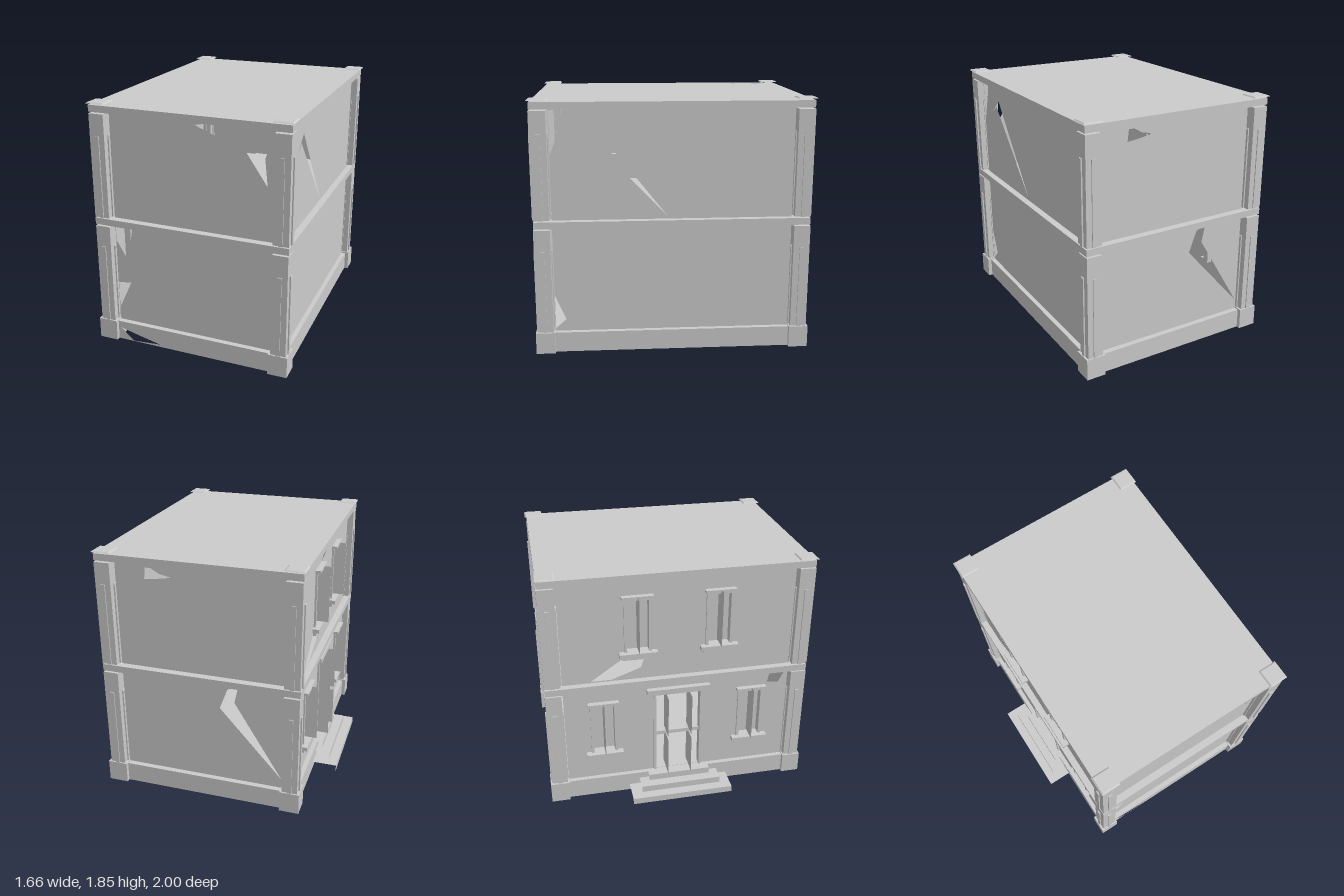
import * as THREE from 'three';

const mat = new THREE.MeshStandardMaterial({ color: 0xcccccc, flatShading: true });
const thin = new THREE.MeshStandardMaterial({ color: 0xcccccc, flatShading: true, side: THREE.DoubleSide });

// house outline: pillar centres, storey heights
const PX = [-0.6, 0.757], PZ = [-0.93, 0.93];
const LEVELS = [[0.15, 0.94], [0.99, 1.78]];
const BOTTOM = 3, TOP = 2;

const points = (list) => list.map(([a, b]) => new THREE.Vector2(a, b));
const rect = (a0, b0, a1, b1) => [[a0, b0], [a1, b0], [a1, b1], [a0, b1]];

function add(parent, name, geometry, material = mat) {
  const mesh = new THREE.Mesh(geometry, material);
  mesh.name = name;
  parent.add(mesh);
  return mesh;
}

// box given by its minimum and maximum corners
function box(parent, name, x0, y0, z0, x1, y1, z1) {
  const mesh = add(parent, name, new THREE.BoxGeometry(x1 - x0, y1 - y0, z1 - z0));
  mesh.position.set((x0 + x1) / 2, (y0 + y1) / 2, (z0 + z1) / 2);
  return mesh;
}

// the same box with one face left out
function openBox(parent, name, face, ...corners) {
  const mesh = box(parent, name, ...corners);
  const index = Array.from(mesh.geometry.index.array);
  index.splice(face * 6, 6);
  mesh.geometry.setIndex(index);
  mesh.material = thin;
}

// flat sheet with pieces cut out of it
function sheet(outline, holes) {
  const shape = new THREE.Shape(points(outline));
  for (const hole of holes) shape.holes.push(new THREE.Path(points(hole)));
  return new THREE.ShapeGeometry(shape);
}

// wall across x, at a given z
function crossWall(parent, name, z, y0, y1, holes) {
  add(parent, name, sheet(rect(-0.53, y0, 0.687, y1), holes), thin).position.z = z;
}

// wall along z, at a given x; outline points are (z, y)
function sideWall(parent, name, x, y0, y1, holes) {
  const wall = add(parent, name, sheet(rect(-0.86, y0, 0.86, y1), holes), thin);
  wall.rotation.y = -Math.PI / 2;
  wall.position.x = x;
}

// framed opening in the entrance wall
function frame(parent, name, z, y0, y1, half, lintelReach, lintelHeight) {
  const g = new THREE.Group();
  g.name = name;
  const out = -0.625, back = -0.56, t = 0.02;
  for (const s of [-1, 1]) {
    const c = z + s * (half - t / 2);
    box(g, 'jamb', out, y0, c - t / 2, back, y1, c + t / 2);
  }
  box(g, 'head', out, y1 - t, z - half, back, y1, z + half);
  box(g, 'lintel', -0.65, y1, z - half - lintelReach, -0.6, y1 + lintelHeight, z + half + lintelReach);
  parent.add(g);
  return g;
}

// panel swung square to the wall about its own middle
function swungPanel(parent, name, z, y0, y1, width) {
  const panel = add(parent, name, new THREE.PlaneGeometry(width, y1 - y0));
  panel.rotation.y = Math.PI;
  panel.position.set(-0.61, (y0 + y1) / 2, z);
}

export function createModel() {
  const house = new THREE.Group();
  house.name = 'ruinedHouse';

  // corner pillars: open-bottomed footing, two shafts, side strips and a loose cap
  for (const px of PX) for (const pz of PZ) {
    const pillar = new THREE.Group();
    pillar.name = 'cornerPillar';
    pillar.position.set(px, 0, pz);
    house.add(pillar);

    openBox(pillar, 'footing', BOTTOM, -0.073, 0, -0.07, 0.073, 0.16, 0.07);
    for (const [y0, y1, stripTop] of [[0.15, 0.93, 0.77], [1.0, 1.77, 1.61]]) {
      box(pillar, 'shaft', -0.057, y0, -0.059, 0.057, y1, 0.059);
      box(pillar, 'sideStrip', -0.067, y0, -0.015, 0.067, stripTop, 0.015);
      box(pillar, 'sideStrip', -0.015, y0, -0.067, 0.015, stripTop, 0.067);
    }
    const cap = add(pillar, 'looseCap', new THREE.CylinderGeometry(0.085, 0.099, 0.008, 4), thin);
    cap.rotation.y = Math.PI / 4;
    cap.position.y = 1.845;
  }

  // floors and roof
  box(house, 'groundFloor', -0.645, 0.135, -0.97, 0.8, 0.15, 0.97);
  box(house, 'middleFloor', -0.66, 0.94, -0.985, 0.815, 0.99, 0.985);
  openBox(house, 'roofSlab', TOP, -0.66, 1.78, -0.985, 0.815, 1.83, 0.985);
  const roofBed = add(house, 'roofBed', sheet(rect(-0.66, -0.985, 0.815, 0.985), []), thin);
  roofBed.rotation.x = Math.PI / 2;
  roofBed.position.y = 1.815;

  // chipped roof covering, points are (x, z)
  const chips = [
    [[-0.56, -0.88], [-0.4, -0.755], [-0.55, -0.78]],
    [[-0.57, -0.6], [-0.37, -0.73], [-0.33, -0.69], [-0.43, -0.47], [-0.45, -0.6]],
    [[-0.01, -0.69], [0.15, -0.53], [0.05, -0.47]],
    [[0.34, -0.27], [0.43, -0.27], [0.32, -0.18]],
    [[0.23, 0.35], [0.25, 0.24], [0.43, 0.07], [0.45, 0.13]],
    [[-0.44, 0.5], [-0.39, 0.5], [-0.24, 0.31], [-0.28, 0.56], [-0.39, 0.58], [-0.4, 0.87]],
    [[0.53, 0.68], [0.58, 0.58], [0.63, 0.59], [0.64, 0.63]],
  ];
  const covering = add(house, 'roofCovering', sheet(rect(-0.66, -0.985, 0.815, 0.985), chips), thin);
  covering.rotation.x = Math.PI / 2;
  covering.position.y = 1.83;

  // plinth walls; the ground floor forms the ledge on top
  crossWall(house, 'frontPlinth', 0.97, 0, 0.15, [[[-0.51, 0.1], [-0.4, 0.07], [-0.18, 0.02], [-0.4, 0.003]]]);
  crossWall(house, 'backPlinth', -0.97, 0, 0.15, []);
  sideWall(house, 'leftPlinth', 0.8, 0, 0.15, []);
  sideWall(house, 'rightPlinth', -0.645, 0, 0.15, []);

  // front and back walls, broken through in places
  crossWall(house, 'frontLowerWall', 0.93, ...LEVELS[0], [
    [[-0.527, 0.81], [-0.44, 0.66], [-0.387, 0.935], [-0.527, 0.935]],
    [[-0.527, 0.46], [-0.42, 0.48], [-0.527, 0.25]],
  ]);
  crossWall(house, 'frontUpperWall', 0.93, ...LEVELS[1], [
    [[0.12, 1.75], [0.2, 1.765], [0.43, 1.755], [0.45, 1.74], [0.48, 1.605]],
    [[0.49, 1.6], [0.55, 1.6], [0.683, 1.775], [0.62, 1.57], [0.64, 1.38]],
  ]);
  crossWall(house, 'backLowerWall', -0.93, ...LEVELS[0], [
    [[-0.06, 0.74], [-0.12, 0.9], [-0.2, 0.935], [-0.17, 0.8], [-0.525, 0.22]],
  ]);
  crossWall(house, 'backUpperWall', -0.93, ...LEVELS[1], [
    [[0.27, 1.69], [0.36, 1.71], [0.42, 1.745], [0.46, 1.745], [0.47, 1.66], [0.36, 1.675]],
  ]);

  // plain side walls
  sideWall(house, 'leftLowerWall', 0.765, ...LEVELS[0], [[[0.857, 0.42], [0.78, 0.24], [0.857, 0.17]]]);
  sideWall(house, 'leftUpperWall', 0.765, ...LEVELS[1], [
    [[0.69, 1.54], [0.55, 1.66], [0.03, 1.0], [0.6, 1.605]],
    [[0.857, 1.77], [0.76, 1.775], [0.77, 1.69], [0.857, 1.45]],
  ]);

  // entrance walls with door and window openings, plus damage
  const half = 0.1, lowZ = 0.57, highZ = 0.3;
  const opening = (z, y0, y1, h) => rect(z - h, y0, z + h, y1);
  sideWall(house, 'rightLowerWall', -0.61, ...LEVELS[0], [
    opening(0, 0.153, 0.85, 0.19),
    opening(-lowZ, 0.38, 0.8, half), opening(lowZ, 0.38, 0.8, half),
    [[0.7, 0.84], [0.72, 0.935], [0.84, 0.935], [0.79, 0.83]],
  ]);
  sideWall(house, 'rightUpperWall', -0.61, ...LEVELS[1], [
    opening(-highZ, 1.22, 1.64, half), opening(highZ, 1.22, 1.64, half),
    [[-0.65, 1.0], [-0.42, 1.16], [-0.25, 1.17], [-0.28, 1.08], [-0.5, 1.0]],
    [[-0.19, 1.66], [-0.05, 1.775], [0.17, 1.775], [0.12, 1.72]],
  ]);

  // windows: frame, sill, blind backing and a swung pane
  for (const [z, y0, y1] of [[lowZ, 0.38, 0.8], [-lowZ, 0.38, 0.8], [highZ, 1.22, 1.64], [-highZ, 1.22, 1.64]]) {
    const w = frame(house, 'window', z, y0, y1, half, 0.015, 0.02);
    box(w, 'sill', -0.66, y0 - 0.03, z - half - 0.04, -0.56, y0, z + half + 0.04);
    box(w, 'sillApron', -0.635, y0 - 0.06, z - half - 0.02, -0.6, y0 - 0.03, z + half + 0.02);
    box(w, 'backing', -0.565, y0, z - half, -0.56, y1, z + half);
    swungPanel(w, 'swungPane', z, y0 + 0.01, y1 + 0.02, 0.18);
  }

  // double door with each leaf in two swung panels
  const door = frame(house, 'door', 0, 0.15, 0.85, 0.19, 0.05, 0.04);
  for (const z of [-0.09, 0.09]) {
    swungPanel(door, 'lowerPanel', z, 0.15, 0.46, 0.18);
    swungPanel(door, 'upperPanel', z, 0.49, 0.83, 0.18);
  }
  box(door, 'crossRail', -0.6, 0.46, -0.17, -0.58, 0.49, 0.17);

  // entrance steps: treads and risers without end pieces
  for (const [x, w, y] of [[-0.83, 0.39, 0.05], [-0.76, 0.31, 0.1], [-0.69, 0.24, 0.15]]) {
    const tread = add(house, 'stepTread', new THREE.PlaneGeometry(-0.645 - x, 2 * w), thin);
    tread.rotation.x = -Math.PI / 2;
    tread.position.set((x - 0.645) / 2, y, 0);
    const riser = add(house, 'stepRiser', new THREE.PlaneGeometry(2 * w, 0.05), thin);
    riser.rotation.y = -Math.PI / 2;
    riser.position.set(x, y - 0.025, 0);
  }

  return house;
}
